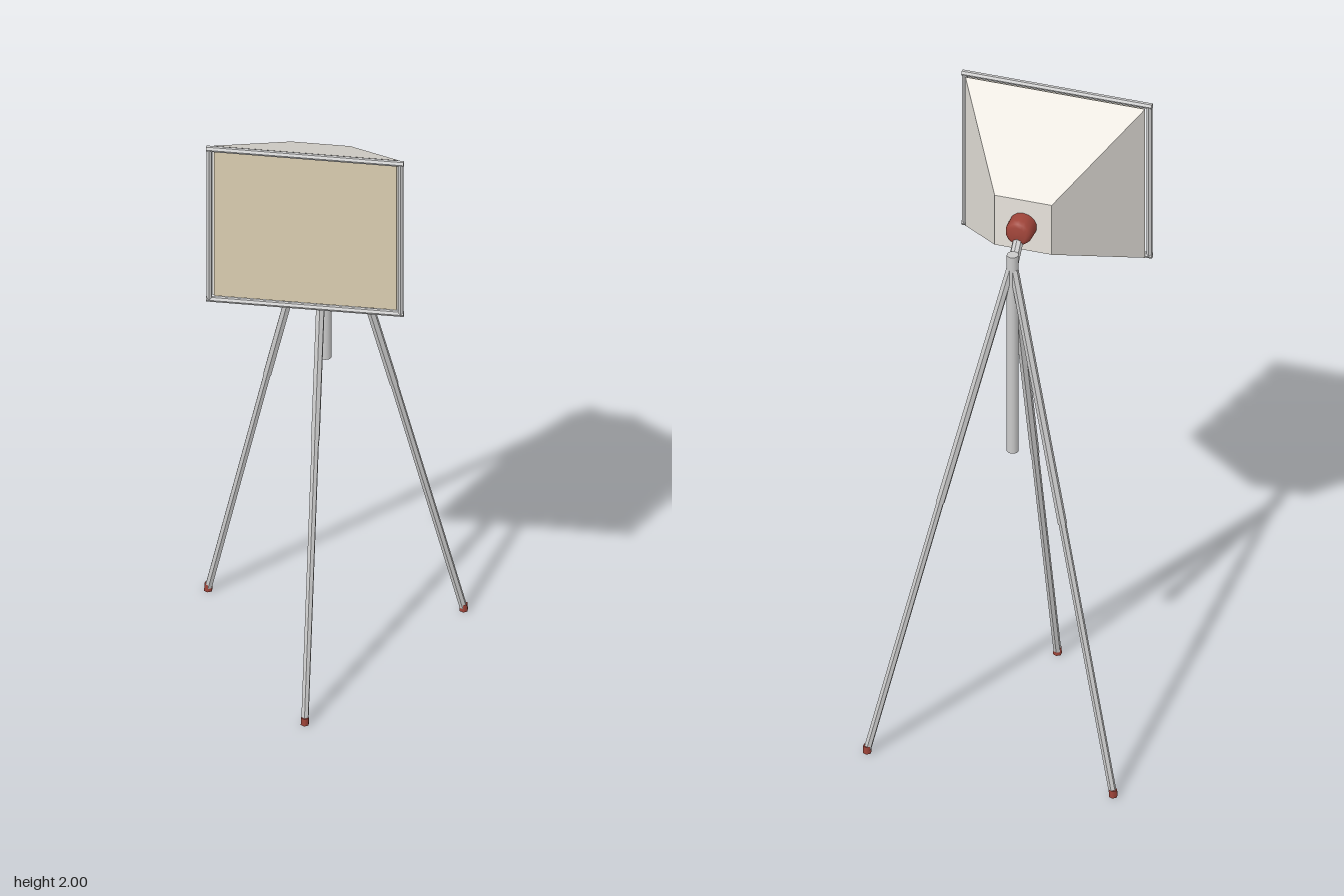
import * as THREE from 'three';

const metal = new THREE.MeshStandardMaterial({ color: 0xcccccc, flatShading: true });
const smoothMetal = new THREE.MeshStandardMaterial({ color: 0xcccccc });
const red = new THREE.MeshStandardMaterial({ color: 0xa0453a });
const fabric = new THREE.MeshStandardMaterial({ color: 0xe8e4dd });
const beige = new THREE.MeshStandardMaterial({ color: 0xdccfb2 });

const POLE_Z = -0.107;
const HEAD_Y = 1.728;
const v = (x, y, z) => new THREE.Vector3(x, y, z);

function add(parent, name, geometry, material) {
  const mesh = new THREE.Mesh(geometry, material);
  mesh.name = name;
  parent.add(mesh);
  return mesh;
}

// Straight rod from a to b
function rod(parent, name, a, b, radius, material = metal, sides = 6) {
  const dir = b.clone().sub(a);
  const mesh = add(parent, name, new THREE.CylinderGeometry(radius, radius, dir.length(), sides), material);
  mesh.position.copy(a).add(b).multiplyScalar(0.5);
  mesh.quaternion.setFromUnitVectors(v(0, 1, 0), dir.normalize());
  return mesh;
}

function makeLeg(angle) {
  const leg = new THREE.Group();
  leg.name = 'leg';
  const knee = v(0, 0.85, 0.215);
  rod(leg, 'upperLeg', v(0, 1.64, 0.006), knee, 0.0135);
  rod(leg, 'lowerLeg', knee, v(0, 0.012, 0.432), 0.0115);
  const foot = add(leg, 'foot', new THREE.CylinderGeometry(0.012, 0.013, 0.024, 6), red);
  foot.position.set(0, 0.012, 0.433);
  leg.position.z = POLE_Z;
  leg.rotation.y = angle;
  return leg;
}

function makeHead() {
  const head = new THREE.Group();
  head.name = 'lampHead';
  head.position.y = HEAD_Y;

  // Tapered fabric box: the back face of a box is shrunk
  const depth = 0.31;
  const shade = new THREE.BoxGeometry(0.548, 0.524, depth);
  const p = shade.attributes.position;
  for (let i = 0; i < p.count; i++) {
    if (p.getZ(i) < 0) p.setXY(i, Math.sign(p.getX(i)) * 0.087, Math.sign(p.getY(i)) * 0.087);
  }
  shade.computeVertexNormals();
  add(head, 'softbox', shade, fabric).position.z = 0.15;

  // Diffuser sheet
  add(head, 'diffuser', new THREE.BoxGeometry(0.536, 0.512, 0.016), beige).position.z = 0.308;

  // Tube frame around the diffuser
  const w = 0.281, h = 0.263, z = 0.323, r = 0.009;
  for (const s of [-1, 1]) {
    rod(head, 'frameRail', v(-w - r, s * h, z), v(w + r, s * h, z), r);
    rod(head, 'frameStile', v(s * w, -h, z), v(s * w, h, z), r);
  }

  // Rounded lamp housing, turned around the z axis
  const profile = [[0, 0.06], [0.026, 0.059], [0.036, 0.053], [0.041, 0.039], [0.042, 0.02], [0.042, 0]]
    .map(([x, y]) => new THREE.Vector2(x, y)).reverse();
  const housing = add(head, 'lampHousing', new THREE.LatheGeometry(profile, 14), red);
  housing.rotation.x = -Math.PI / 2;
  housing.position.z = -0.004;
  return head;
}

export function createModel() {
  const model = new THREE.Group();
  model.name = 'softboxLamp';

  // Centre pole and the tilted arm carrying the head
  rod(model, 'centrePole', v(0, 1.0, POLE_Z), v(0, 1.69, POLE_Z), 0.0175, smoothMetal, 12);
  rod(model, 'headArm', v(0, 1.65, POLE_Z), v(0, 1.715, -0.042), 0.016, metal, 8);

  // Three legs
  for (let i = 0; i < 3; i++) model.add(makeLeg((i * Math.PI * 2) / 3));

  model.add(makeHead());
  return model;
}
